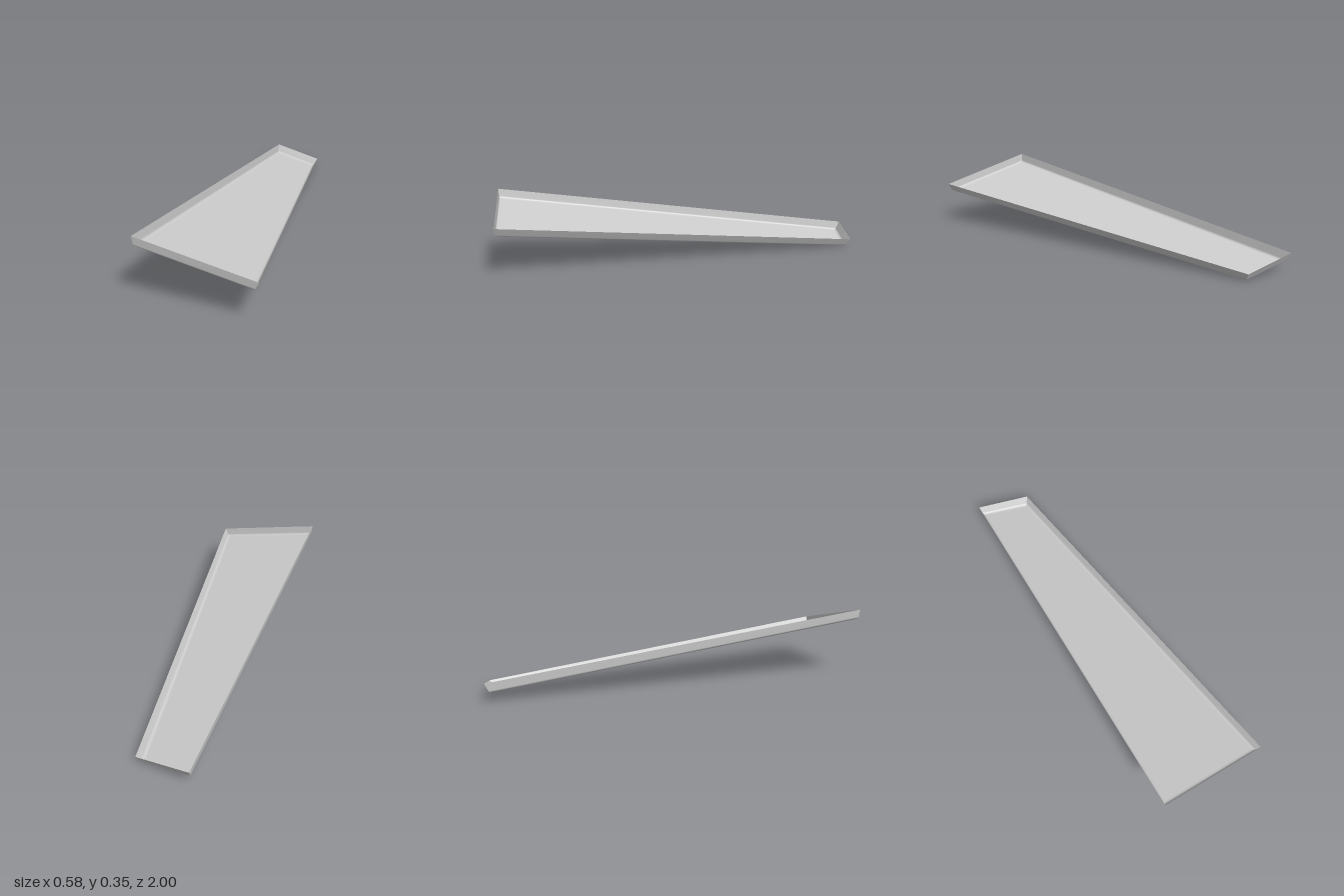
import * as THREE from 'three';

const V = (x, y, z) => new THREE.Vector3(x, y, z);
const floorY = (x, z) => 0.298 - 0.206 * (x + 0.283) - 0.128 * (0.995 - z);
const onFloor = (x, z) => V(x, floorY(x, z), z);

// Corners in order: front right, front left, back left, back right
const rim = [V(-0.288, 0.348, 1), V(0.288, 0.229, 1), V(-0.004, 0.041, -0.95), V(-0.288, 0.093, -1)];
const bend = [onFloor(-0.283, 0.995), onFloor(0.265, 0.995), onFloor(-0.025, -0.925), onFloor(-0.283, -0.975)];
const inner = [onFloor(-0.27, 0.98), onFloor(0.25, 0.98), onFloor(-0.037, -0.91), onFloor(-0.27, -0.958)];

// Section at a corner: straight wall, then a small fillet into the floor
function section(i) {
  const wallEnd = bend[i].clone().lerp(rim[i], 0.22);
  const fillet = new THREE.QuadraticBezierCurve3(wallEnd, bend[i], inner[i]);
  return [rim[i], ...fillet.getPoints(6)];
}

// Smooth strip between two rows of points
function strip(a, b) {
  const positions = [], index = [];
  a.forEach((p, k) => {
    positions.push(...p.toArray(), ...b[k].toArray());
    if (k === 0) return;
    const n = 2 * k;
    index.push(n - 2, n, n - 1, n - 1, n, n + 1);
  });
  const geometry = new THREE.BufferGeometry();
  geometry.setAttribute('position', new THREE.Float32BufferAttribute(positions, 3));
  geometry.setIndex(index);
  geometry.computeVertexNormals();
  return geometry;
}

export function createModel() {
  const group = new THREE.Group();
  group.name = 'taperedTray';
  const material = new THREE.MeshStandardMaterial({ color: 0xcccccc, side: THREE.DoubleSide });
  const add = (name, geometry) => {
    const mesh = new THREE.Mesh(geometry, material);
    mesh.name = name;
    group.add(mesh);
  };

  // Four flared walls with rounded feet
  const sections = rim.map((_, i) => section(i));
  ['frontWall', 'leftWall', 'backWall', 'rightWall'].forEach((name, i) =>
    add(name, strip(sections[i], sections[(i + 1) % 4])));

  // Flat sloping floor
  add('floor', strip([inner[0], inner[3]], [inner[1], inner[2]]));
  return group;
}
